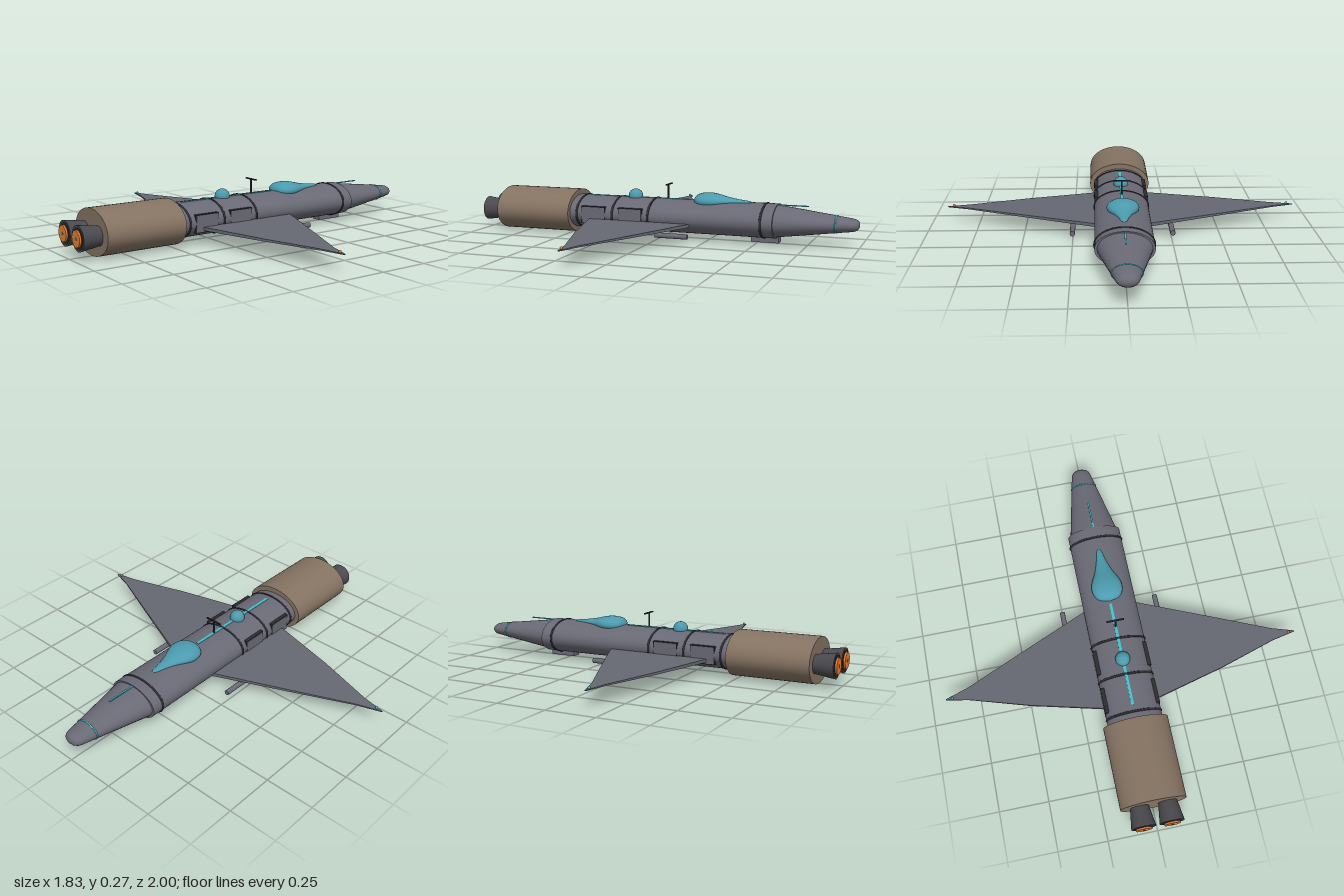
import * as THREE from 'three';

const paint = (name, color) => Object.assign(new THREE.MeshStandardMaterial({ color }), { name });

export function createModel() {
  const mat = {
    hull: paint('hullGrey', 0x6a6a76),
    wing: paint('wingGrey', 0x666872),
    shroud: paint('engineBrown', 0x857362),
    dark: paint('trimDark', 0x2c2c32),
    bell: paint('nozzleGrey', 0x4a4a50),
    glass: paint('glassTeal', 0x4b9bae),
    light: paint('stripCyan', 0x3fc4d2),
    glow: paint('exhaustOrange', 0xe67e32),
  };
  const model = new THREE.Group();
  model.name = 'spacecraft';
  const AXIS = 0.12; // height of the fuselage centre line

  const add = (name, geometry, material, x = 0, y = 0, z = 0) => {
    const mesh = new THREE.Mesh(geometry, material);
    mesh.name = name;
    mesh.position.set(x, y, z);
    model.add(mesh);
    return mesh;
  };
  const box = (name, material, w, h, d, x, y, z) =>
    add(name, new THREE.BoxGeometry(w, h, d), material, x, y, z);
  // Cylinder lying along z from z0 to z1, flattened to an ellipse
  const tube = (name, material, r0, r1, z0, z1, x, y, flat = 1, sides = 32) =>
    add(name, new THREE.CylinderGeometry(r1, r0, z1 - z0, sides).rotateX(Math.PI / 2).scale(1, flat, 1),
      material, x, y, (z0 + z1) / 2);
  // Lathe turned about z, from [radius, z] points with z rising
  const turned = (name, material, points, y, flat) =>
    add(name, new THREE.LatheGeometry(points, 32).rotateX(Math.PI / 2).scale(1, flat, 1), material, 0, y, 0);
  const vec = (list) => list.map(([r, z]) => new THREE.Vector2(r, z));

  // Fuselage, engine shroud and nose
  tube('fuselage', mat.hull, 0.14, 0.14, -0.6, 0.47, 0, AXIS, 0.607, 48);
  tube('engineShroud', mat.shroud, 0.165, 0.165, 0.47, 0.885, 0, AXIS, 0.682, 48);
  turned('noseCone', mat.hull, vec([
    [0, -1], [0.022, -0.997], [0.037, -0.99], [0.047, -0.978], [0.053, -0.96],
    [0.057, -0.94], [0.128, -0.6],
  ]), AXIS, 0.62);

  // Seam rings round the fuselage and light ring on the nose
  for (const z of [-0.54, 0.04, 0.235, 0.432])
    add('seamRing', new THREE.TorusGeometry(0.139, 0.006, 8, 48).scale(1, 0.615, 1), mat.dark, 0, AXIS, z);
  add('noseLightRing', new THREE.TorusGeometry(0.067, 0.004, 6, 40).scale(1, 0.62, 1), mat.light, 0, AXIS, -0.89);

  // Teardrop canopy
  const canopyCurve = new THREE.SplineCurve(vec([
    [0, -0.47], [0.014, -0.45], [0.025, -0.4], [0.045, -0.34], [0.069, -0.29],
    [0.08, -0.25], [0.073, -0.207], [0.045, -0.178], [0, -0.167],
  ]));
  const canopyPoints = canopyCurve.getPoints(32);
  canopyPoints.forEach((p) => { p.x = Math.max(p.x, 0); });
  turned('canopy', mat.glass, canopyPoints, 0.205, 0.5);

  // Sensor dome, light strips and mast on the spine
  add('sensorDome', new THREE.SphereGeometry(0.038, 24, 16), mat.glass, 0, 0.21, 0.155);
  box('spineLightStrip', mat.light, 0.014, 0.006, 0.55, 0, 0.204, 0.125);
  box('noseLightStrip', mat.light, 0.008, 0.005, 0.16, 0, 0.2, -0.67);
  add('mast', new THREE.CylinderGeometry(0.005, 0.005, 0.08, 10), mat.dark, 0, 0.24, -0.025);
  box('mastCrossbar', mat.dark, 0.09, 0.006, 0.008, 0, 0.279, -0.028);

  // Belly fairing under the front of the fuselage
  box('bellyFairing', mat.hull, 0.05, 0.03, 0.14, 0, 0.027, -0.54);

  // Wing sections: span, leading edge z, trailing edge z, thickness
  const sections = [
    [0.1, -0.192, 0.37, 0.018], [0.5, -0.02, 0.268, 0.012],
    [0.8, 0.11, 0.175, 0.007], [0.917, 0.147, 0.152, 0.004],
  ];
  const wingGeometry = (side) => {
    const geometry = new THREE.BoxGeometry(1, 1, 1, sections.length - 1, 1, 1);
    const pos = geometry.attributes.position;
    for (let i = 0; i < pos.count; i++) {
      const index = Math.round((side * pos.getX(i) + 0.5) * (sections.length - 1));
      const [x, lead, trail, thick] = sections[index];
      pos.setXYZ(i, side * x, pos.getY(i) * thick, pos.getZ(i) < 0 ? lead : trail);
    }
    geometry.computeVertexNormals();
    return geometry;
  };

  // Mirrored parts
  for (const side of [1, -1]) {
    const label = side > 0 ? 'left' : 'right';
    add(label + 'Wing', wingGeometry(side), mat.wing, 0, 0.091, 0);
    add(label + 'TipLight', new THREE.SphereGeometry(0.007, 12, 8),
      side > 0 ? mat.glow : mat.light, side * 0.885, 0.098, 0.15);
    tube(label + 'WingPod', mat.hull, 0.013, 0.013, -0.21, -0.045, side * 0.25, 0.058, 1, 16);

    // Service panels with dark borders on the flanks
    for (const z of [0.135, 0.338]) {
      box(label + 'PanelBorder', mat.dark, 0.02, 0.09, 0.13, side * 0.129, 0.118, z);
      box(label + 'Panel', mat.hull, 0.02, 0.082, 0.122, side * 0.1305, 0.118, z);
    }

    // Engine nozzle with glowing core
    const x = side * 0.07;
    tube(label + 'Nozzle', mat.bell, 0.046, 0.062, 0.88, 0.987, x, 0.115);
    tube(label + 'NozzleThroat', mat.dark, 0.052, 0.052, 0.98, 0.989, x, 0.115);
    tube(label + 'ExhaustGlow', mat.glow, 0.042, 0.04, 0.95, 0.998, x, 0.115);
    tube(label + 'ExhaustCore', mat.glass, 0.008, 0.008, 0.994, 1, x, 0.115, 1, 12);
  }
  return model;
}
